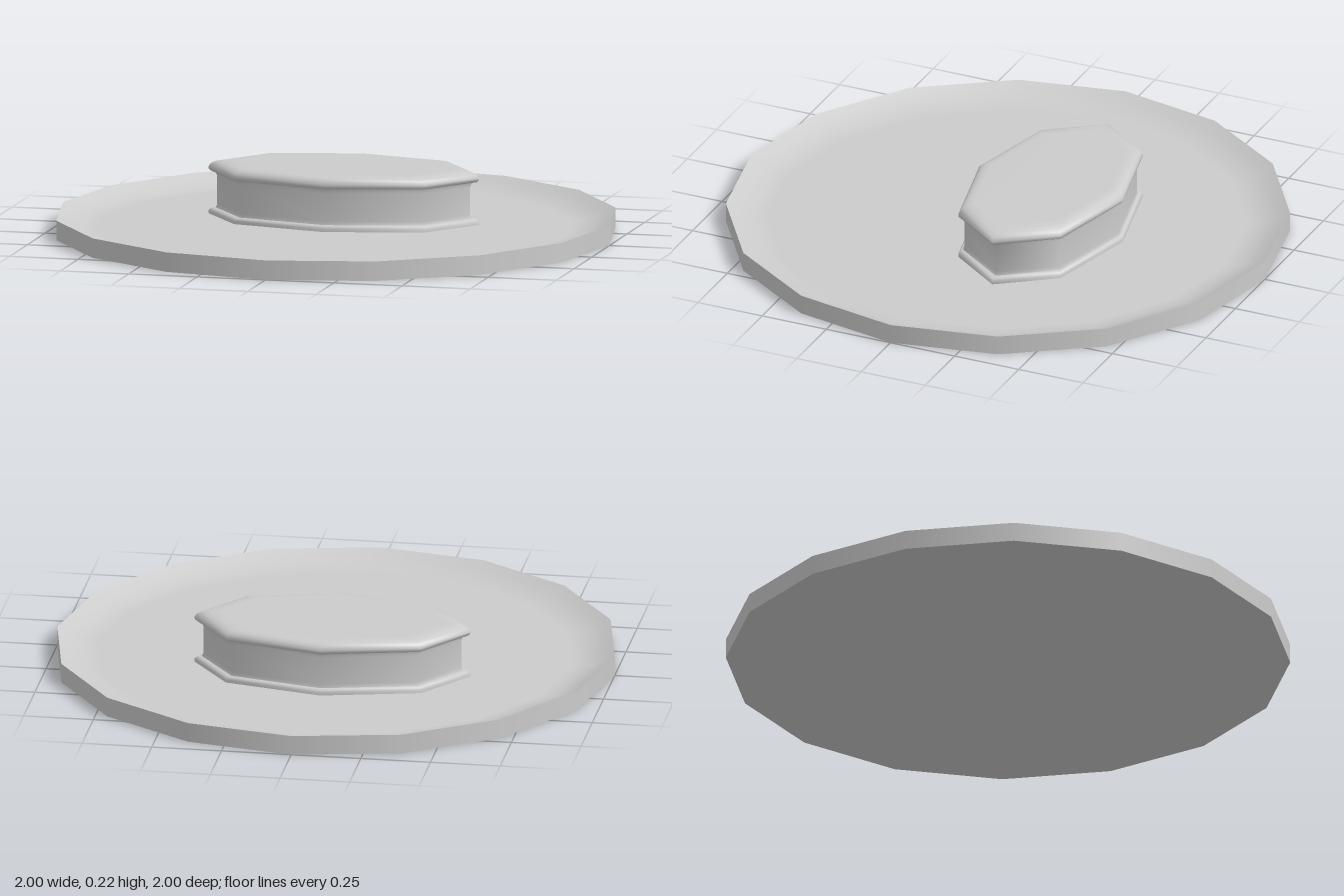
import * as THREE from 'three';

const material = new THREE.MeshStandardMaterial({ color: 0xcccccc });

// Revolved surface; the profile runs up the outside, then in towards the axis
function turned(name, profile, sides) {
  const points = profile.map(([r, y]) => new THREE.Vector2(r, y));
  const mesh = new THREE.Mesh(new THREE.LatheGeometry(points, sides), material);
  mesh.name = name;
  return mesh;
}

export function createModel() {
  const model = new THREE.Group();
  model.name = 'dishWithPedestal';

  // Sixteen-sided shallow dish, each part separate to keep the rim crisp
  const dish = new THREE.Group();
  dish.name = 'dish';
  dish.add(
    turned('dishBottom', [[0, 0], [1, 0]], 16),
    turned('dishWall', [[1, 0], [1, 0.07]], 16),
    turned('dishFloor', [[1, 0.07], [0.96, 0.05], [0.91, 0.032], [0.85, 0.025], [0, 0.025]], 16)
  );
  model.add(dish);

  // Eight-sided oval pedestal, set towards the back
  const pedestal = new THREE.Group();
  pedestal.name = 'pedestal';
  pedestal.add(
    turned('baseFlange', [[1, 0.022], [1, 0.036], [0.985, 0.044], [0.96, 0.047], [0.93, 0.048]], 8),
    turned('neck', [[0.95, 0.045], [0.935, 0.06], [0.935, 0.16], [0.95, 0.178]], 8),
    turned('lipUnderside', [[0.93, 0.176], [0.98, 0.178]], 8),
    turned('lipAndTop', [
      [0.98, 0.178], [0.997, 0.184], [1, 0.193], [0.985, 0.205],
      [0.95, 0.214], [0.9, 0.219], [0.82, 0.222], [0, 0.223]
    ], 8)
  );
  pedestal.scale.set(0.495, 1, 0.282);
  pedestal.position.set(-0.013, 0, -0.16);
  model.add(pedestal);

  return model;
}
